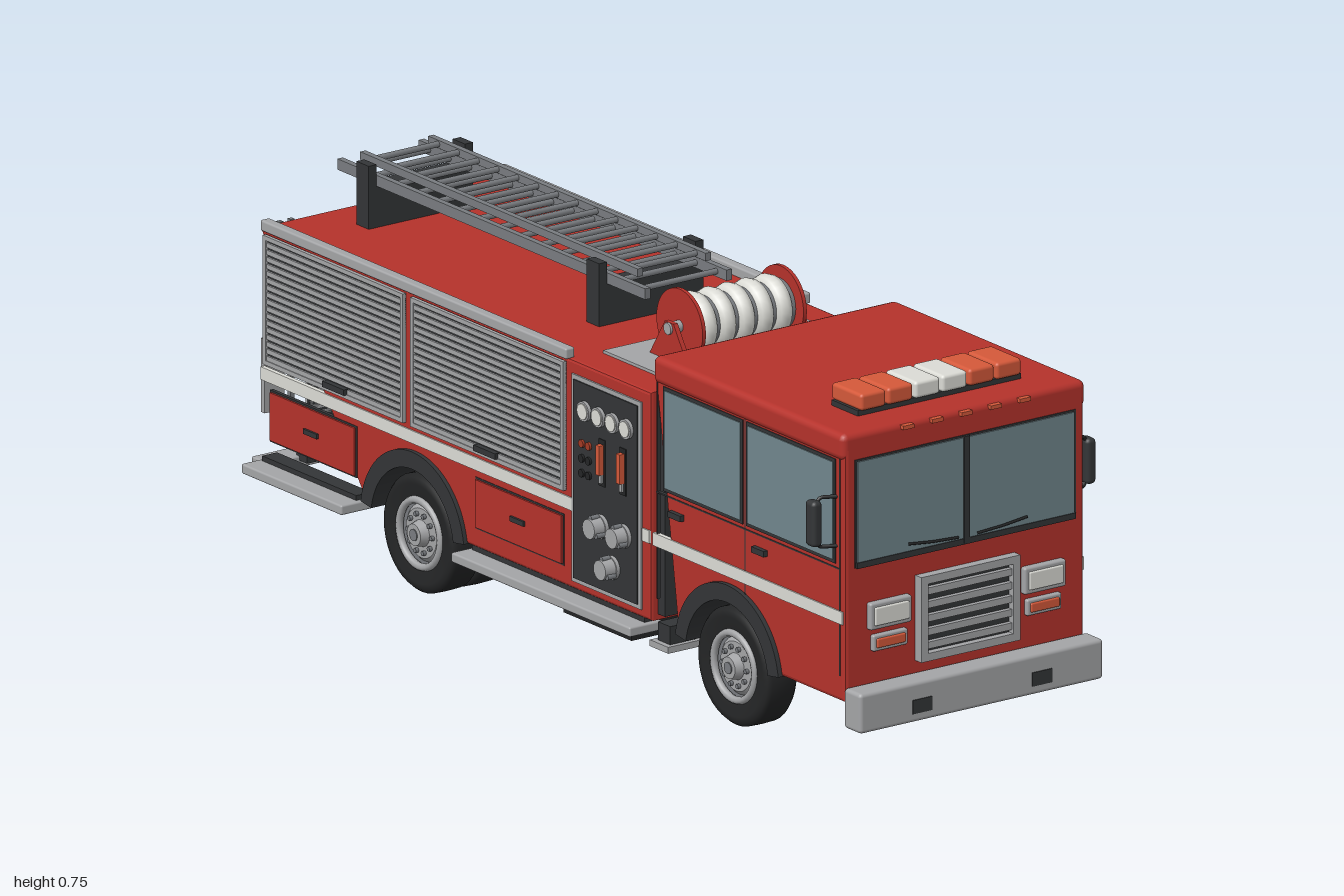
import * as THREE from 'three';
import { RoundedBoxGeometry } from 'three/addons/geometries/RoundedBoxGeometry.js';

const mat = (name, color) => Object.assign(new THREE.MeshStandardMaterial({ color }), { name });

export function createModel() {
  const root = new THREE.Group();
  root.name = 'fireEngine';
  const red = mat('red paint', 0xb5322b), black = mat('black rubber', 0x242526), dark = mat('dark trim', 0x333537),
    silver = mat('silver metal', 0xa4a5a7), steel = mat('grey steel', 0x797c80), glass = mat('window glass', 0x71878d),
    amber = mat('amber lamp', 0xd5593a), white = mat('white', 0xdcdcd6), scarlet = mat('red lamp', 0xa33a24);

  const add = (name, geo, m, x = 0, y = 0, z = 0) => {
    const mesh = new THREE.Mesh(geo, m);
    mesh.name = name;
    mesh.position.set(x, y, z);
    root.add(mesh);
    return mesh;
  };
  // box given by its extents, optionally rounded
  const box = (name, m, x0, x1, y0, y1, z0, z1, r = 0) => {
    const s = [Math.abs(x1 - x0), Math.abs(y1 - y0), Math.abs(z1 - z0)];
    const g = r ? new RoundedBoxGeometry(...s, 2, r) : new THREE.BoxGeometry(...s);
    return add(name, g, m, (x0 + x1) / 2, (y0 + y1) / 2, (z0 + z1) / 2);
  };
  // cylinder along x
  const disc = (name, m, r, x0, x1, y, z, seg = 20, r2 = r) => {
    const g = new THREE.CylinderGeometry(r, r2, Math.abs(x1 - x0), seg).rotateZ(x1 > x0 ? -Math.PI / 2 : Math.PI / 2);
    return add(name, g, m, (x0 + x1) / 2, y, z);
  };
  const tube = (name, m, pts, r) => add(name, new THREE.TubeGeometry(
    new THREE.CatmullRomCurve3(pts.map(p => new THREE.Vector3(...p)), false, 'catmullrom', 0.1), 12, r, 8), m);
  // side profile (z, y) extruded across x
  const extrudeX = (name, m, shape, x0, x1, bevel = 0) => {
    const g = new THREE.ExtrudeGeometry(shape, { depth: x1 - x0 - 2 * bevel, bevelEnabled: bevel > 0, bevelSize: bevel,
      bevelThickness: bevel, bevelOffset: -bevel, bevelSegments: 2, curveSegments: 28 });
    g.translate(0, 0, -(x1 - x0) / 2 + bevel).rotateY(-Math.PI / 2);
    return add(name, g, m, (x0 + x1) / 2, 0, 0);
  };
  const AX = 0.123, WHEELS = [0.57, -0.45];
  const archedProfile = (z0, z1, y0, y1, zc) => {
    const r = 0.163, a = Math.asin((y0 - AX) / r), s = new THREE.Shape();
    s.moveTo(z0, y0);
    s.absarc(zc, AX, r, Math.PI - a, a, true);
    s.lineTo(z1, y0).lineTo(z1, y1).lineTo(z0, y1);
    return s;
  };

  // main shells
  extrudeX('cab', red, archedProfile(0.322, 0.942, 0.148, 0.66, WHEELS[0]), -0.287, 0.287, 0.008);
  box('cabRoof', red, -0.292, 0.292, 0.637, 0.692, 0.322, 0.942, 0.014);
  extrudeX('rearBody', red, archedProfile(-0.956, 0.312, 0.148, 0.612, WHEELS[1]), -0.287, 0.287, 0.006);
  box('cabGap', dark, -0.27, 0.27, 0.16, 0.6, 0.3, 0.335);
  box('chassis', black, -0.115, 0.115, 0.1, 0.17, -0.93, 0.92);
  box('fuelTank', black, -0.28, -0.14, 0.088, 0.15, 0.02, 0.24);

  // roller shutter in a local plane: u across, y up; axis 'x' for sides, 'z' for the back
  const shutter = (axis, s, u0, u1, y0, y1, face, n) => {
    const plate = (name, m, a, b, c, d, t) => axis === 'x'
      ? box(name, m, s * (face - 0.004), s * (face + t), c, d, a, b)
      : box(name, m, a, b, c, d, s * (face - 0.004), s * (face + t));
    plate('shutterBacking', dark, u0, u1, y0, y1, 0.002);
    const f = 0.009, step = (y1 - y0 - 2 * f) / n;
    for (let i = 0; i < n; i++) plate('shutterSlat', silver, u0 + f, u1 - f, y0 + f + i * step, y0 + f + (i + 0.66) * step, 0.006);
    for (const [a, b, c, d] of [[u0, u1, y0, y0 + f], [u0, u1, y1 - f, y1], [u0, u0 + f, y0, y1], [u1 - f, u1, y0, y1]])
      plate('shutterFrame', silver, a, b, c, d, 0.008);
  };

  for (const s of [1, -1]) {
    const side = (name, m, t, y0, y1, z0, z1, base = 0.28) => box(name, m, s * base, s * (0.287 + t), y0, y1, z0, z1);
    // cab doors and windows
    for (const [z0, z1] of [[0.63, 0.906], [0.36, 0.606]]) {
      side('windowSeal', dark, 0.002, 0.425, 0.637, z0 - 0.006, z1 + 0.006);
      side('sideWindow', glass, 0.004, 0.432, 0.63, z0, z1);
    }
    for (const z of [0.333, 0.618, 0.925]) side('doorSeam', dark, 0.001, z === 0.618 ? 0.28 : 0.2, 0.64, z - 0.0015, z + 0.0015);
    side('doorSeam', dark, 0.001, 0.415, 0.418, 0.33, 0.925);
    for (const z of [0.67, 0.4]) side('doorHandle', dark, 0.01, 0.38, 0.392, z - 0.02, z + 0.02);
    // stripe
    side('stripe', white, 0.003, 0.306, 0.332, 0.322, 0.936);
    side('stripe', white, 0.003, 0.306, 0.332, -0.95, 0.058);
    side('stripe', white, 0.003, 0.306, 0.332, 0.288, 0.31);
    // pump panel
    side('pumpPanelFrame', silver, 0.004, 0.165, 0.586, 0.06, 0.285);
    side('pumpPanel', dark, 0.007, 0.174, 0.577, 0.069, 0.276);
    for (const z of [0.245, 0.2, 0.155, 0.109]) {
      disc('gaugeRim', silver, 0.02, s * 0.29, s * 0.301, 0.523, z);
      disc('gaugeFace', white, 0.016, s * 0.3, s * 0.303, 0.523, z);
    }
    for (const z of [0.232, 0.165]) {
      side('leverSlot', black, 0.009, 0.385, 0.48, z - 0.01, z + 0.01);
      side('leverHandle', amber, 0.02, 0.41, 0.47, z - 0.006, z + 0.006);
      side('leverRod', silver, 0.014, 0.392, 0.41, z - 0.004, z + 0.004);
    }
    for (const y of [0.455, 0.425, 0.395]) for (const z of [0.122, 0.1])
      disc('switch', y > 0.44 ? scarlet : black, 0.008, s * 0.29, s * 0.299, y, z, 12);
    for (const [z, y] of [[0.235, 0.303], [0.162, 0.303], [0.198, 0.229]]) {
      disc('outletFlange', silver, 0.024, s * 0.29, s * 0.302, y, z, 16);
      disc('outletCap', silver, 0.02, s * 0.3, s * 0.326, y, z, 16, 0.022);
      for (let i = 0; i < 3; i++) {
        const a = Math.PI / 2 + i * 2.094;
        disc('outletLug', steel, 0.006, s * 0.303, s * 0.322, y + 0.021 * Math.sin(a), z + 0.021 * Math.cos(a), 8);
      }
    }
    // lockers
    for (const [z0, z1, h] of [[-0.458, 0.038, -0.21], [-0.936, -0.482, -0.7]]) {
      shutter('x', s, z0, z1, 0.342, 0.604, 0.287, 17);
      side('shutterHandle', dark, 0.014, 0.35, 0.362, h - 0.035, h + 0.035);
    }
    for (const [z0, z1] of [[-0.255, 0.032], [-0.922, -0.64]]) {
      side('lockerSeam', dark, 0.001, 0.187, 0.292, z0, z1);
      side('lockerDoor', red, 0.005, 0.191, 0.288, z0 + 0.004, z1 - 0.004);
      side('lockerHandle', dark, 0.01, 0.236, 0.246, (z0 + z1) / 2 - 0.022, (z0 + z1) / 2 + 0.022);
    }
    box('topRail', silver, s * 0.272, s * 0.294, 0.61, 0.632, -0.946, 0.046, 0.004);
    // running boards and step
    for (const [z0, z1] of [[-0.28, 0.3], [-0.96, -0.635]]) {
      box('runningBoard', silver, s * 0.25, s * 0.329, 0.12, 0.14, z0, z1, 0.004);
      box('boardBracket', dark, s * 0.25, s * 0.286, 0.138, 0.15, z0 + 0.01, z1 - 0.01);
    }
    box('cabStep', silver, s * 0.21, s * 0.292, 0.1, 0.113, 0.315, 0.375);
    box('stepHanger', dark, s * 0.22, s * 0.28, 0.11, 0.15, 0.325, 0.365);
    // mirrors
    box('mirror', dark, s * 0.317, s * 0.34, 0.464, 0.557, 0.88, 0.912, 0.009);
    for (const [y, d] of [[0.545, 0.016], [0.475, -0.014]])
      tube('mirrorArm', black, [[s * 0.282, y + d, 0.915], [s * 0.315, y + d, 0.9], [s * 0.328, y, 0.896]], 0.004);

    // wheel arches and wheels
    for (const z of WHEELS) {
      const ring = new THREE.Shape();
      ring.absarc(z, AX, 0.169, 0.15, Math.PI - 0.15, false);
      ring.absarc(z, AX, 0.134, Math.PI - 0.15, 0.15, true);
      extrudeX('fender', dark, ring, Math.min(s * 0.2, s * 0.296), Math.max(s * 0.2, s * 0.296));
      const well = new THREE.Shape();
      well.absarc(z, AX, 0.164, 0.15, Math.PI - 0.15, false);
      extrudeX('wheelWell', black, well, Math.min(s * 0.11, s * 0.122), Math.max(s * 0.11, s * 0.122));
      const tyre = (xc) => {
        const p = [[0.066, -0.03], [0.1, -0.037], [0.112, -0.035], [0.119, -0.027], [0.12, 0], [0.119, 0.027],
          [0.112, 0.035], [0.1, 0.037], [0.066, 0.03]].map(q => new THREE.Vector2(...q));
        add('tyre', new THREE.LatheGeometry(p, 40).rotateZ(-Math.PI / 2), black, s * xc, AX, z);
        disc('wheelDisc', steel, 0.07, s * (xc - 0.028), s * (xc + 0.02), AX, z, 32);
      };
      tyre(0.246);
      if (z < 0) tyre(0.171);
      const rim = add('rim', new THREE.TorusGeometry(0.067, 0.008, 8, 32).rotateY(Math.PI / 2), silver, s * 0.277, AX, z);
      rim.scale.x = 1;
      disc('rimDish', silver, 0.05, s * 0.262, s * 0.274, AX, z, 28, 0.062);
      disc('hub', silver, 0.022, s * 0.27, s * 0.292, AX, z, 20, 0.028);
      disc('hubCentre', steel, 0.012, s * 0.288, s * 0.294, AX, z, 16);
      for (let i = 0; i < 10; i++) {
        const a = i * Math.PI / 5;
        disc('wheelNut', steel, 0.005, s * 0.272, s * 0.281, AX + 0.039 * Math.sin(a), z + 0.039 * Math.cos(a), 6);
      }
    }

    // front lamps, windscreen halves, wipers, bumper slots
    box('windscreen', glass, s * 0.007, s * 0.26, 0.43, 0.634, 0.936, 0.947);
    tube('wiper', black, [[s * 0.022, 0.436, 0.951], [s * 0.085, 0.44, 0.952], [s * 0.143, 0.446, 0.951]], 0.0028);
    box('headlightFrame', silver, s * 0.135, s * 0.235, 0.288, 0.343, 0.935, 0.955, 0.005);
    box('headlight', white, s * 0.144, s * 0.226, 0.297, 0.334, 0.95, 0.959, 0.003);
    box('indicatorFrame', silver, s * 0.143, s * 0.226, 0.243, 0.276, 0.935, 0.952, 0.004);
    box('indicator', amber, s * 0.15, s * 0.219, 0.25, 0.269, 0.947, 0.956, 0.003);
    box('bumperSlot', dark, s * 0.12, s * 0.167, 0.118, 0.146, 0.985, 1.0);
    // tail lamps
    box('tailLampFrame', silver, s * 0.232, s * 0.28, 0.235, 0.385, -0.962, -0.95);
    box('tailLamp', amber, s * 0.237, s * 0.275, 0.24, 0.335, -0.966, -0.955);
    box('reverseLamp', white, s * 0.237, s * 0.275, 0.342, 0.38, -0.966, -0.955);
    box('rearMarker', amber, s * 0.225, s * 0.265, 0.572, 0.59, -0.964, -0.95);
  }
  disc('frontAxle', black, 0.025, -0.24, 0.24, AX, WHEELS[0]);
  disc('rearAxle', black, 0.03, -0.24, 0.24, AX, WHEELS[1]);

  // front
  box('windscreenSeal', dark, -0.265, 0.265, 0.418, 0.638, 0.93, 0.944);
  box('windscreenPillar', dark, -0.007, 0.007, 0.42, 0.637, 0.935, 0.95);
  box('windscreenSill', dark, -0.262, 0.262, 0.418, 0.43, 0.935, 0.949);
  box('bumper', silver, -0.292, 0.292, 0.1, 0.181, 0.943, 0.998, 0.008);
  box('grilleBacking', dark, -0.11, 0.11, 0.21, 0.37, 0.935, 0.947);
  for (const [x0, x1, y0, y1] of [[-0.119, 0.119, 0.203, 0.219], [-0.119, 0.119, 0.36, 0.376], [-0.119, -0.102, 0.203, 0.376], [0.102, 0.119, 0.203, 0.376]])
    box('grilleFrame', silver, x0, x1, y0, y1, 0.935, 0.962);
  for (let i = 0; i < 5; i++) box('grilleBar', silver, -0.102, 0.102, 0.226 + i * 0.0275, 0.24 + i * 0.0275, 0.94, 0.957);
  for (let i = -2; i <= 2; i++) box('roofMarker', amber, i * 0.07 - 0.013, i * 0.07 + 0.013, 0.679, 0.687, 0.925, 0.95);

  // light bar
  box('lightBarBase', dark, -0.196, 0.196, 0.69, 0.703, 0.775, 0.86);
  for (let i = 0; i < 6; i++) {
    const x = (i - 2.5) * 0.065;
    box('beacon', i === 2 || i === 3 ? white : amber, x - 0.03, x + 0.03, 0.702, 0.736, 0.768, 0.867, 0.007);
  }

  // hose reel
  box('reelDeck', silver, -0.215, 0.215, 0.605, 0.618, 0.06, 0.278);
  const RY = 0.683, RZ = 0.186;
  disc('reelDrum', steel, 0.05, -0.12, 0.12, RY, RZ, 28);
  for (let i = 0; i < 5; i++) {
    const coil = add('hoseCoil', new THREE.TorusGeometry(0.04, 0.023, 10, 28).rotateY(Math.PI / 2), white, (i - 2) * 0.045, RY, RZ);
    coil.scale.x = 0.95;
  }
  for (const s of [1, -1]) {
    disc('reelFlange', red, 0.075, s * 0.117, s * 0.125, RY, RZ, 36);
    disc('reelAxle', silver, 0.012, s * 0.12, s * 0.155, RY, RZ, 16);
    const tri = new THREE.Shape([[-0.065, 0.615], [0.065, 0.615], [0.014, 0.695], [-0.014, 0.695]].map(([a, b]) => new THREE.Vector2(RZ + a, b)));
    extrudeX('reelStand', red, tri, s * 0.145 - 0.005, s * 0.145 + 0.005);
  }

  // stacked ladders on their racks
  for (const z of [-0.095, -0.842]) {
    box('ladderRackBar', dark, -0.125, 0.125, 0.61, 0.695, z - 0.02, z + 0.02);
    for (const s of [1, -1]) box('ladderRackPost', dark, s * 0.106, s * 0.125, 0.61, 0.74, z - 0.02, z + 0.02);
  }
  for (const [w, y0, y1, z0, z1, n] of [[0.104, 0.695, 0.717, -0.952, 0.046, 15], [0.088, 0.726, 0.742, -0.9, 0.0, 14]]) {
    for (const s of [1, -1]) box('ladderRail', steel, s * (w - 0.013), s * w, y0, y1, z0, z1);
    for (let i = 0; i < n; i++)
      disc('ladderRung', steel, 0.0065, -w + 0.005, w - 0.005, (y0 + y1) / 2, z0 + (i + 0.5) * (z1 - z0) / n, 8);
  }

  // back
  shutter('z', -1, -0.172, 0.172, 0.195, 0.555, 0.956, 22);
  box('rearHandle', dark, -0.04, 0.04, 0.212, 0.224, -0.972, -0.955);
  box('rearStep', silver, -0.275, 0.275, 0.11, 0.134, -1.0, -0.945, 0.004);
  box('rearStepSupport', dark, -0.2, 0.2, 0.125, 0.15, -0.955, -0.92);
  for (const x of [-0.198, -0.225]) {
    box('climbRail', steel, x - 0.005, x + 0.005, 0.165, 0.608, -0.98, -0.97);
    for (const y of [0.19, 0.58]) box('climbRailMount', steel, x - 0.005, x + 0.005, y - 0.007, y + 0.007, -0.972, -0.95);
  }
  for (let i = 0; i < 6; i++) box('climbRung', steel, -0.225, -0.198, 0.2 + i * 0.07, 0.208 + i * 0.07, -0.978, -0.972);
  return root;
}
